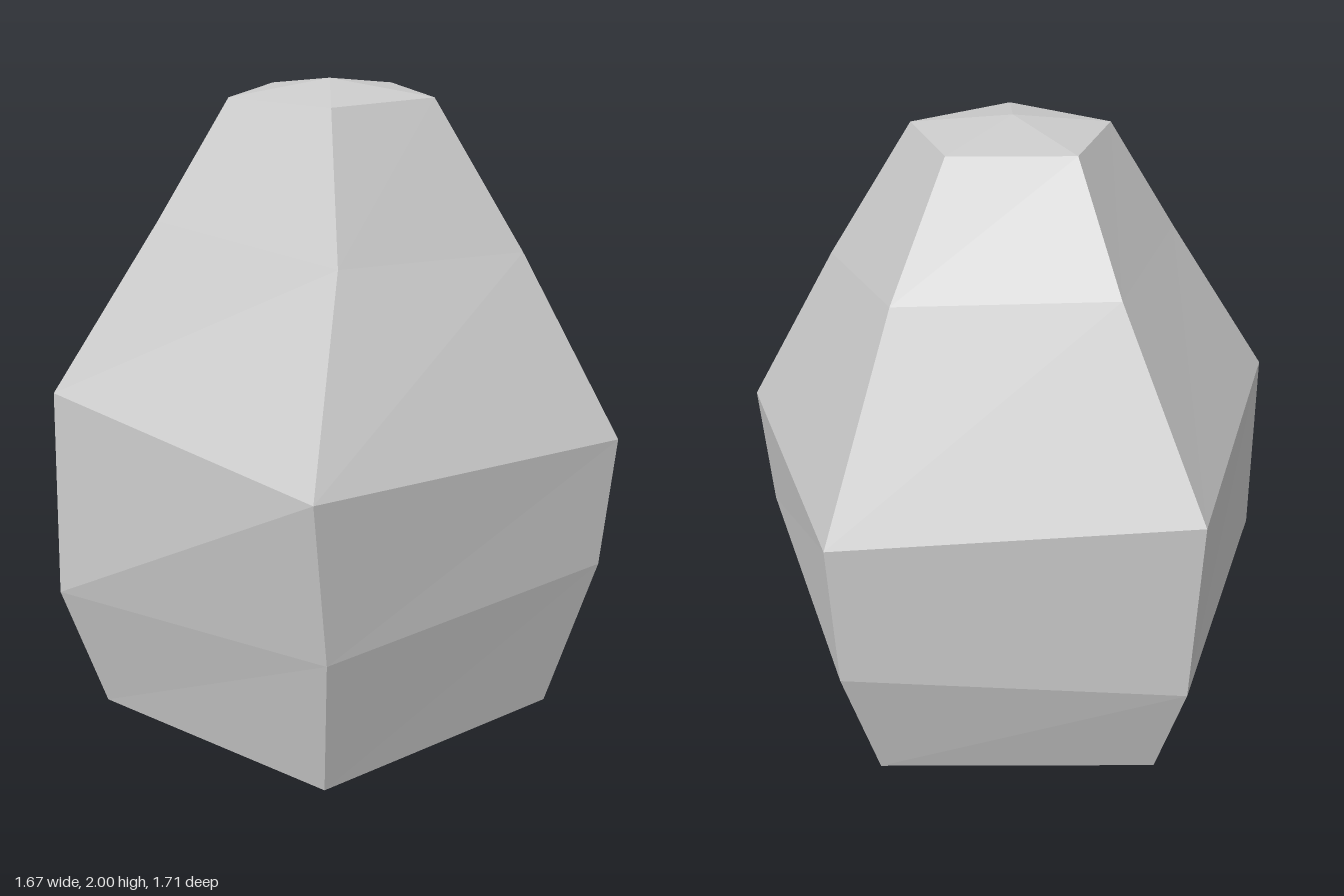
import * as THREE from 'three';

// Five-cornered horizontal loops, bottom to top; corners run from +x towards +z
const pentagon = (cx, r, y) => Array.from({ length: 5 }, (_, i) => {
  const a = i * Math.PI * 2 / 5;
  return [cx + r * Math.cos(a), y, r * Math.sin(a)];
});

const loops = [
  pentagon(-0.085, 0.725, 0.09),
  [[0.8, 0.515, 0], [0.2, 0.575, 0.82], [-0.765, 0.555, 0.505], [-0.765, 0.48, -0.51], [0.2, 0.455, -0.82]],
  [[0.835, 0.975, 0], [0.22, 0.98, 0.85], [-0.84, 1.05, 0.52], [-0.725, 1.11, -0.525], [0.22, 1.05, -0.855]],
  [[0.505, 1.59, 0.01], [0.14, 1.52, 0.55], [-0.48, 1.56, 0.335], [-0.48, 1.61, -0.31], [0.14, 1.61, -0.51]],
  pentagon(-0.05, 0.31, 1.955),
];

function loftRock(rings, bottom, top) {
  const n = rings[0].length;
  const points = [...rings.flat(), bottom, top];
  const bottomId = points.length - 2, topId = points.length - 1;
  const last = (rings.length - 1) * n;
  const index = [];
  for (let i = 0; i < n; i++) {
    const j = (i + 1) % n;
    // Side bands
    for (let k = 0; k < last; k += n) {
      index.push(k + i, k + n + i, k + j, k + j, k + n + i, k + n + j);
    }
    // Shallow pointed caps
    index.push(bottomId, i, j);
    index.push(topId, last + j, last + i);
  }
  const geometry = new THREE.BufferGeometry();
  geometry.setAttribute('position', new THREE.Float32BufferAttribute(points.flat(), 3));
  geometry.setIndex(index);
  const faceted = geometry.toNonIndexed();
  faceted.computeVertexNormals();
  return faceted;
}

export function createModel() {
  const group = new THREE.Group();
  group.name = 'rock';
  const stone = new THREE.Mesh(
    loftRock(loops, [-0.06, 0, 0], [-0.06, 2, 0]),
    new THREE.MeshStandardMaterial({ color: 0xcccccc, flatShading: true }),
  );
  stone.name = 'stone';
  group.add(stone);
  return group;
}
